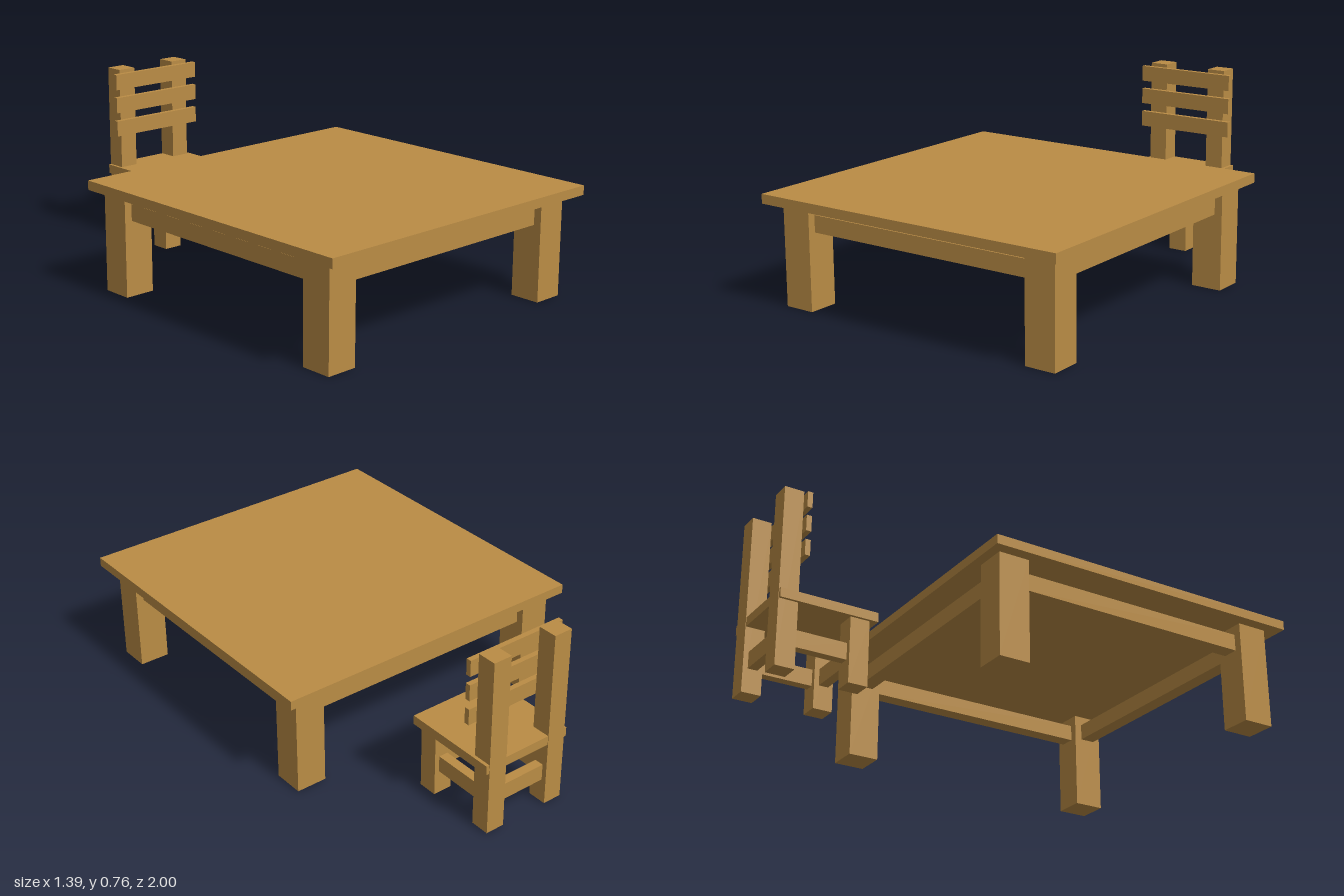
import * as THREE from 'three';

export function createModel() {
  const wood = new THREE.MeshStandardMaterial({ color: 0xba8c45 });
  wood.name = 'wood';

  // Box given by its extents on each axis
  const board = (parent, name, [x0, x1], [y0, y1], [z0, z1]) => {
    const mesh = new THREE.Mesh(new THREE.BoxGeometry(x1 - x0, y1 - y0, z1 - z0), wood);
    mesh.position.set((x0 + x1) / 2, (y0 + y1) / 2, (z0 + z1) / 2);
    mesh.name = name;
    parent.add(mesh);
  };

  // Four rails joining four legs, centred on the legs; xs and zs are leg spans
  const rails = (parent, name, xs, ys, zs, t) => {
    const mid = ([a, b]) => [(a + b - t) / 2, (a + b + t) / 2];
    for (const z of zs) board(parent, name, [xs[0][1], xs[1][0]], ys, mid(z));
    for (const x of xs) board(parent, name, mid(x), ys, [zs[0][1], zs[1][0]]);
  };

  // Table
  const table = new THREE.Group();
  table.name = 'table';
  const tableX = [[-0.647, -0.516], [0.514, 0.645]];
  const tableZ = [[-0.351, -0.22], [0.804, 0.935]];
  board(table, 'tableTop', [-0.697, 0.695], [0.424, 0.463], [-0.392, 1]);
  for (const x of tableX) for (const z of tableZ) board(table, 'tableLeg', x, [0, 0.424], z);
  rails(table, 'tableRail', tableX, [0.315, 0.385], tableZ, 0.065);

  // Chair
  const chair = new THREE.Group();
  chair.name = 'chair';
  const chairX = [[-0.13, -0.048], [0.164, 0.246]];
  const chairZ = [[-1, -0.918], [-0.696, -0.614]];
  board(chair, 'seat', [-0.142, 0.26], [0.279, 0.318], [-0.998, -0.582]);
  for (const x of chairX) {
    board(chair, 'backPost', x, [0.004, 0.76], chairZ[0]);
    board(chair, 'frontLeg', x, [0.004, 0.279], chairZ[1]);
  }
  rails(chair, 'chairRail', chairX, [0.105, 0.175], chairZ, 0.04);

  // Back slats
  for (const y of [0.468, 0.573, 0.677]) {
    board(chair, 'backSlat', [-0.165, 0.284], [y, y + 0.068], [-0.918, -0.896]);
  }

  const model = new THREE.Group();
  model.name = 'tableAndChair';
  model.add(table, chair);
  return model;
}
